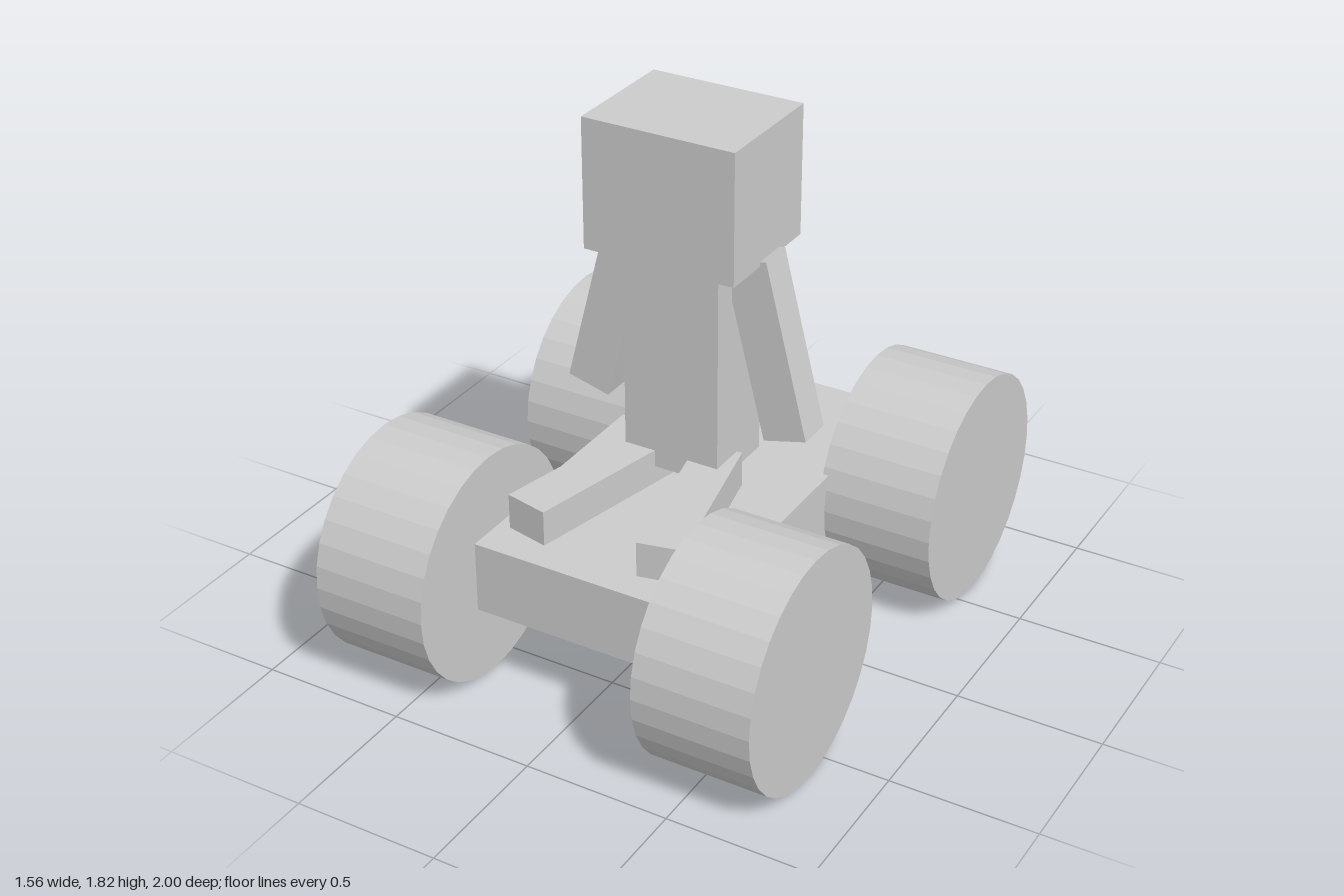
import * as THREE from 'three';

const material = new THREE.MeshStandardMaterial({ color: 0xcccccc, flatShading: true });

export function createModel() {
  const model = new THREE.Group();

  const add = (name, geometry, x, y, z) => {
    const mesh = new THREE.Mesh(geometry, material);
    mesh.name = name;
    mesh.position.set(x, y, z);
    model.add(mesh);
    return mesh;
  };
  const box = (name, w, h, d, x, y, z) => add(name, new THREE.BoxGeometry(w, h, d), x, y, z);

  // Flat cart and the seated driver
  box('chassis', 0.795, 0.25, 1.454, 0, 0.4, -0.029);
  box('torso', 0.344, 0.775, 0.28, 0, 0.9925, -0.02);
  box('head', 0.536, 0.446, 0.43, 0, 1.6, -0.02);

  const radius = 0.3975;
  const wheel = new THREE.CylinderGeometry(radius, radius, 0.402, 32).rotateZ(Math.PI / 2);

  for (const [side, s] of [['left', 1], ['right', -1]]) {
    // Arms splay outward, legs reach forward and apart
    box(side + 'Arm', 0.155, 0.617, 0.123, s * 0.291, 1.0805, -0.03).rotation.z = s * 0.25;
    box(side + 'Leg', 0.155, 0.123, 0.609, s * 0.18, 0.603, 0.302).rotation.y = s * 0.215;

    // Wheels
    add(side + 'FrontWheel', wheel, s * 0.579, radius, 1 - radius);
    add(side + 'RearWheel', wheel, s * 0.579, radius, radius - 1);
  }
  return model;
}
